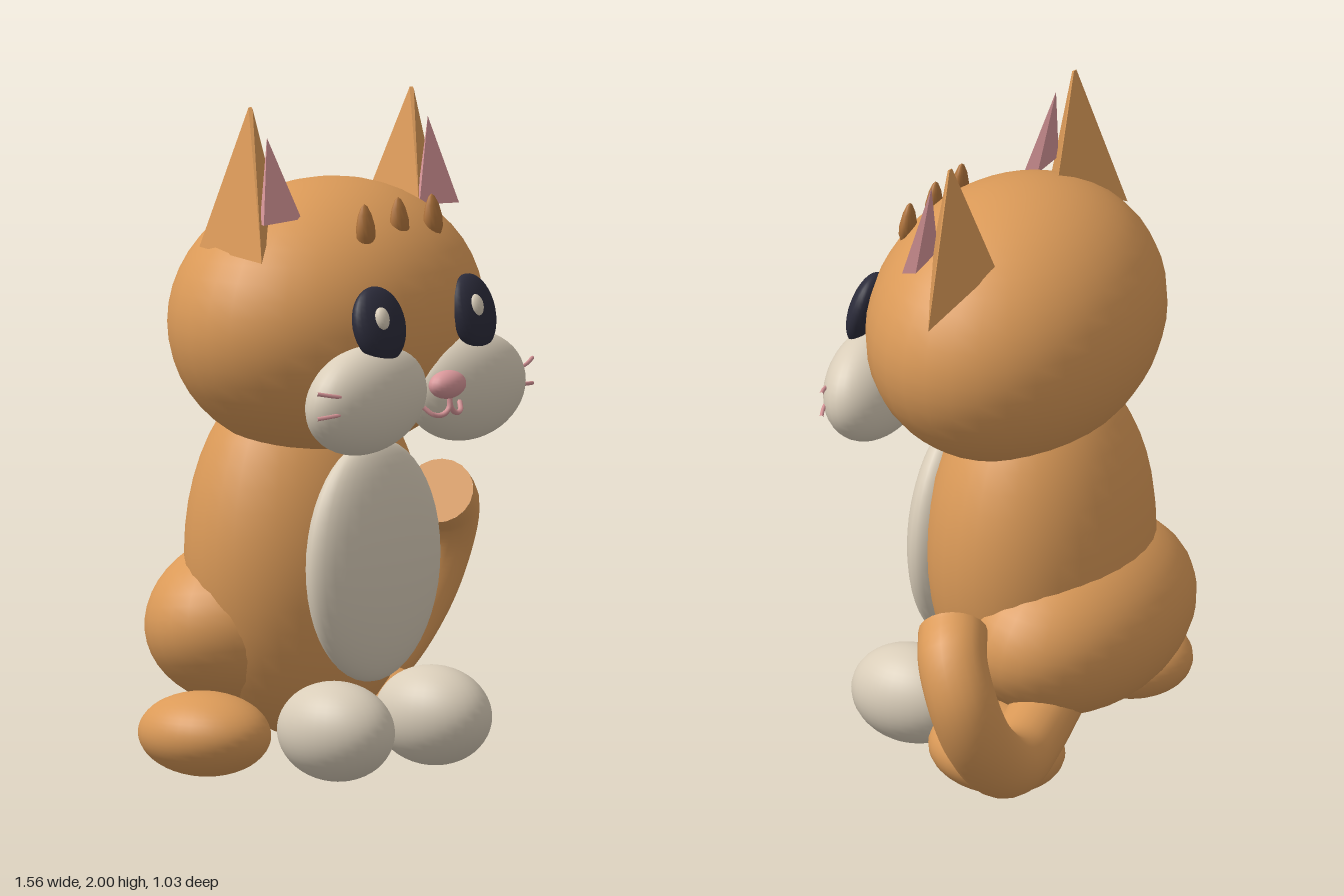
import * as THREE from 'three';
import { ConvexGeometry } from 'three/addons/geometries/ConvexGeometry.js';

const material = (name, color) => {
  const m = new THREE.MeshStandardMaterial({ color });
  m.name = name;
  return m;
};

export function createModel() {
  const orange = material('orange fur', 0xdb9a58);
  const brown = material('brown stripe', 0xb0743c);
  const cream = material('cream fur', 0xd9cdb9);
  const pink = material('pink skin', 0xd9979a);
  const dark = material('dark eye', 0x2b2b3a);

  const cat = new THREE.Group();
  cat.name = 'cat';
  const CX = -0.23; // middle of the body, the tail reaches out to +x

  const add = (name, geometry, mat) => {
    const mesh = new THREE.Mesh(geometry, mat);
    mesh.name = name;
    cat.add(mesh);
    return mesh;
  };
  const ellipsoid = (name, mat, pos, radii, rot = [0, 0, 0], seg = 32) => {
    const mesh = add(name, new THREE.SphereGeometry(1, seg, Math.round(seg * 0.75)), mat);
    mesh.position.set(...pos);
    mesh.scale.set(...radii);
    mesh.rotation.set(...rot);
    return mesh;
  };
  const curveOf = (points) => new THREE.CatmullRomCurve3(points.map((p) => new THREE.Vector3(...p)));
  const tube = (name, mat, points, radius, steps = 16, sides = 8) =>
    add(name, new THREE.TubeGeometry(curveOf(points), steps, radius, sides), mat);
  const hull = (name, mat, points) =>
    add(name, new ConvexGeometry(points.map((p) => new THREE.Vector3(...p))), mat);

  // Head, body and hips
  ellipsoid('head', orange, [CX, 1.343, 0], [0.54, 0.41, 0.408]);
  ellipsoid('body', orange, [CX, 0.65, -0.085], [0.4, 0.56, 0.315]);
  ellipsoid('hips', orange, [CX, 0.435, -0.21], [0.455, 0.275, 0.305], [-0.12, 0, 0]);
  ellipsoid('belly', cream, [CX, 0.635, 0.18], [0.283, 0.36, 0.1]);

  // Paired parts
  for (const s of [-1, 1]) {
    const side = s > 0 ? 'left' : 'right';
    const x = (d) => CX + s * d;
    const drop = s > 0 ? -0.008 : 0;

    ellipsoid(side + 'FrontPaw', cream, [x(0.22), 0.155, 0.225], [0.148, 0.148, 0.19]);
    ellipsoid(side + 'Foot', orange, [x(0.375), 0.13, -0.15], [0.175, 0.125, 0.21]);
    ellipsoid(side + 'Cheek', cream, [x(0.225), 1.152 + drop, 0.345], [0.236, 0.165, 0.12], [0.15, 0, s * -0.06]);
    ellipsoid(side + 'Eye', dark, [x(0.213), 1.375 + drop, 0.385], [0.098, 0.115, 0.045], [-0.25, s * 0.12, 0], 24);
    ellipsoid(side + 'EyeHighlight', cream, [x(0.213) - 0.024, 1.4 + drop, 0.418], [0.026, 0.034, 0.018], [-0.25, 0, 0], 16);

    // Two whiskers per cheek
    for (const [y0, y1] of [[1.18, 1.2], [1.135, 1.125]]) {
      tube(side + 'Whisker', pink, [[x(0.38), y0, 0.415], [x(0.44), (y0 + y1) / 2, 0.4], [x(0.488), y1, 0.38]], 0.006, 6, 6);
    }

    // One half of the smile
    tube(side + 'Mouth', pink, [
      [CX, 1.15, 0.475], [x(0.005), 1.115, 0.478], [x(0.03), 1.097, 0.475],
      [x(0.062), 1.1, 0.465], [x(0.082), 1.122, 0.445],
    ], 0.008, 14, 6);
  }
  ellipsoid('nose', pink, [CX - 0.005, 1.184, 0.472], [0.069, 0.042, 0.043], [0, 0, 0], 20);

  // Three-sided ears, both turned the same way, with thin inner panels
  hull('rightEar', orange, [
    [-0.582, 2, 0], [-0.568, 2, 0], [-0.575, 1.995, 0.01],
    [-0.71, 1.565, 0.16], [-0.64, 1.58, -0.14], [-0.425, 1.69, -0.025],
  ]);
  hull('leftEar', orange, [
    [0.148, 1.98, 0], [0.162, 1.98, 0], [0.155, 1.975, 0.01],
    [0.34, 1.535, -0.03], [0.08, 1.65, -0.11], [0.04, 1.63, 0.13],
  ]);
  const panel = (name, tip, a, b) => {
    const back = [a, b].map(([px, py, pz]) => [px + (tip[0] - px) * 0.25, py, pz - 0.035]);
    hull(name, pink, [tip, a, b, ...back]);
  };
  panel('rightInnerEar', [-0.575, 1.915, 0.065], [-0.665, 1.67, 0.13], [-0.488, 1.67, 0.125]);
  panel('leftInnerEar', [0.148, 1.9, 0.07], [0.04, 1.655, 0.13], [0.225, 1.64, 0.125]);

  // Teardrop stripes on the forehead
  const drop = [[0, -0.07], [0.022, -0.06], [0.036, -0.03], [0.036, 0], [0.026, 0.035], [0.012, 0.06], [0, 0.068]]
    .map(([r, y]) => new THREE.Vector2(r, y));
  for (const [px, py] of [[-0.375, 1.648], [-0.222, 1.652], [-0.07, 1.645]]) {
    const stripe = add('foreheadStripe', new THREE.LatheGeometry(drop, 16), brown);
    stripe.position.set(px, py, 0.275);
    stripe.scale.z = 0.6;
    stripe.rotation.x = -0.08;
  }

  // Tail, cut off flat at its end
  const tailPoints = [
    [-0.02, 0.25, -0.24], [0.18, 0.215, -0.285], [0.36, 0.22, -0.33], [0.52, 0.29, -0.365],
    [0.64, 0.42, -0.365], [0.683, 0.555, -0.34], [0.655, 0.655, -0.295], [0.575, 0.71, -0.25],
  ];
  tube('tail', orange, tailPoints, 0.102, 48, 20);
  const tailCurve = curveOf(tailPoints);
  const cap = add('tailEnd', new THREE.CircleGeometry(0.102, 20), orange);
  cap.position.copy(tailCurve.getPoint(1));
  cap.quaternion.setFromUnitVectors(new THREE.Vector3(0, 0, 1), tailCurve.getTangent(1));

  return cat;
}
